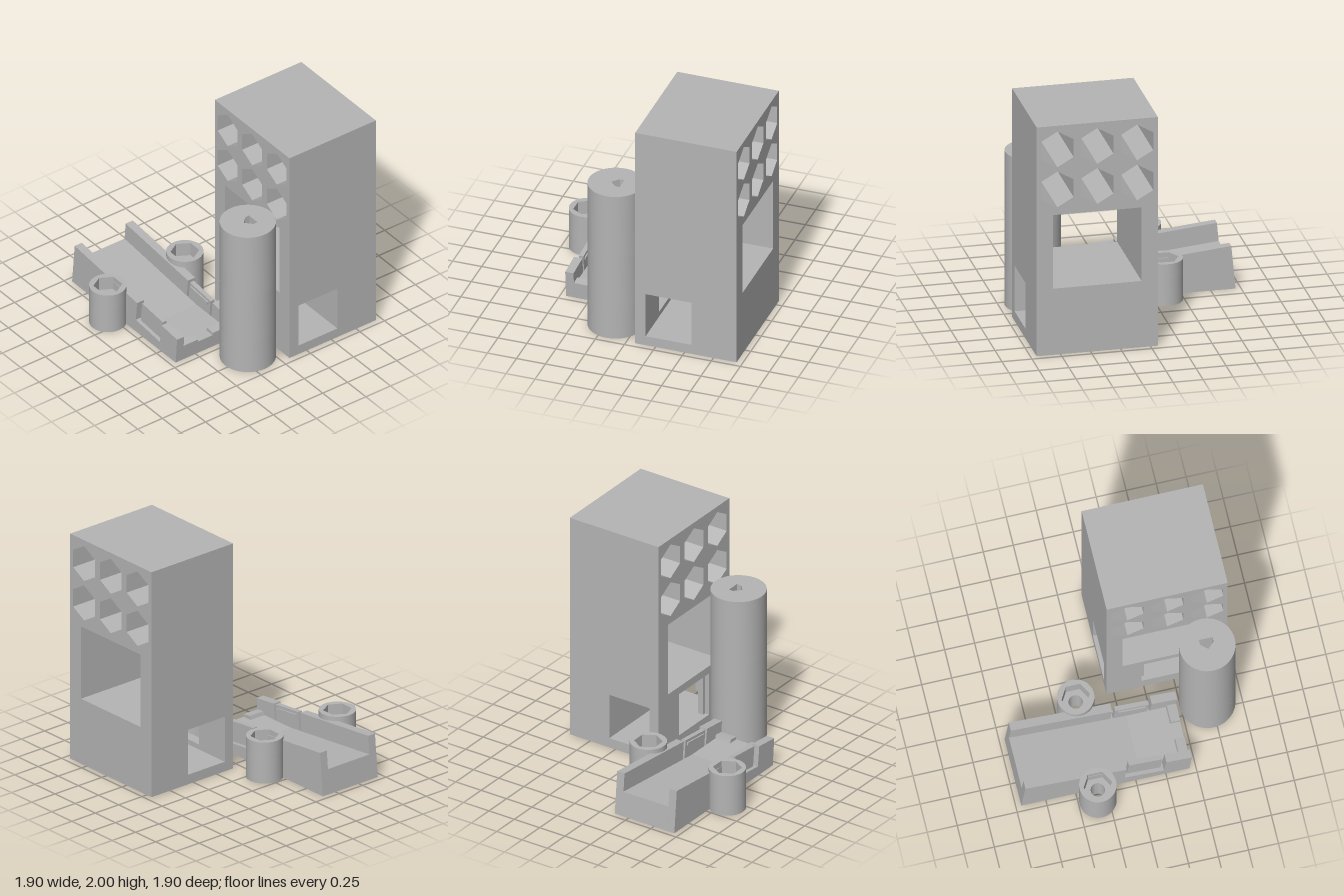
import * as THREE from 'three';
import { toCreasedNormals } from 'three/addons/utils/BufferGeometryUtils.js';

const gray = new THREE.MeshStandardMaterial({ color: 0xb4b4b4 });
gray.name = 'plain gray';

const pts = (list) => list.map(([x, y]) => new THREE.Vector2(x, y));
const poly = (list) => new THREE.Shape(pts(list));
const rect = (x0, x1, y0, y1) => [[x0, y0], [x1, y0], [x1, y1], [x0, y1]];
const ngon = (n, r, cx = 0, cy = 0, start = 0) => Array.from({ length: n }, (_, i) => {
  const a = start + (i / n) * Math.PI * 2;
  return [cx + r * Math.cos(a), cy + r * Math.sin(a)];
});

// Outline with holes, extruded along z from z0 to z1
function slab(outline, holes, z0, z1) {
  const shape = poly(outline);
  shape.holes = holes.map((h) => new THREE.Path(pts(h)));
  const geo = new THREE.ExtrudeGeometry(shape, { depth: z1 - z0, bevelEnabled: false });
  return geo.translate(0, 0, z0);
}

// Outline seen from above, extruded upwards from y0 to y1
function upright(outline, holes, y0, y1) {
  return toCreasedNormals(slab(outline, holes, y0, y1).rotateX(-Math.PI / 2), 0.5);
}

function add(parent, name, geo) {
  const mesh = new THREE.Mesh(geo, gray);
  mesh.name = name;
  parent.add(mesh);
}

function group(parent, name) {
  const g = new THREE.Group();
  g.name = name;
  parent.add(g);
  return g;
}

function buildTower(root) {
  const tower = group(root, 'tower');
  const L = -0.06, R = 0.95, back = -0.95, front = -0.075;
  // Upper block with honeycomb holes and a large window
  const holes = [rect(0.075, 0.815, 0.578, 1.222)];
  for (const x of [0.113, 0.445, 0.777]) {
    for (const y of [1.793, 1.443]) holes.push(ngon(6, 0.156, x, y, Math.PI / 2));
  }
  add(tower, 'towerUpper', slab(rect(L, R, 0.51, 2), holes, back, front));
  // Lower part around the cross tunnel
  add(tower, 'towerBase', slab(rect(L, R, 0, 0.085), [], back, front));
  add(tower, 'tunnelBackWall', slab(rect(L, R, 0.085, 0.485), [], back, -0.56));
  add(tower, 'tunnelRoof', slab(rect(L, R, 0.485, 0.51), [], back, -0.165));
  // Front wall with a stepped opening
  add(tower, 'tunnelFrontWall', slab(rect(L, R, 0.085, 0.51), [rect(0.26, 0.63, 0.13, 0.485)], -0.165, -0.115));
  add(tower, 'openingFrame', slab(
    [[L, 0.085], [R, 0.085], [R, 0.51], [0.66, 0.51], [0.66, 0.13], [0.23, 0.13], [0.23, 0.51], [L, 0.51]],
    [], -0.115, front));
  for (const x of [0.23, 0.63]) {
    add(tower, 'openingLip', slab(rect(x, x + 0.03, 0.34, 0.485), [], -0.187, -0.165));
  }
}

function buildColumn(root) {
  const column = group(root, 'column');
  column.position.set(0.72, 0, 0.175);
  const r = 0.229, w = 0.094, a = Math.acos(w / r);
  const bore = [[-0.057, 0.055], [-0.057, 0.015], [0, -0.038], [0.057, 0.015], [0.057, 0.055]];
  const disc = ngon(96, r);
  // Disc with a notch cut into its back
  const steps = 80;
  const slotted = [[w, 0.125], [-w, 0.125]];
  for (let i = 0; i <= steps; i++) {
    const t = Math.PI - a + (i / steps) * (Math.PI + 2 * a);
    slotted.push([r * Math.cos(t), r * Math.sin(t)]);
  }
  add(column, 'columnBottom', upright(disc, [bore], 0, 0.31));
  add(column, 'columnSlot', upright(slotted, [bore], 0.31, 0.77));
  add(column, 'columnTop', upright(disc, [bore], 0.77, 1.345));
}

function buildPosts(root) {
  // Round posts with a hexagonal pocket above a round bore
  for (const z of [0.02, 0.8]) {
    const post = group(root, 'screwPost');
    post.position.set(-0.34, 0, z);
    const disc = ngon(72, 0.152);
    add(post, 'postBody', upright(disc, [ngon(48, 0.058)], 0, 0.245));
    add(post, 'postPocket', upright(disc, [ngon(6, 0.118)], 0.245, 0.365));
  }
}

function buildRamp(root) {
  const ramp = group(root, 'ramp');
  const mid = 0.408;
  // Adds a profile on both sides of the ramp's middle plane
  const pair = (name, outline, d0, d1) => {
    add(ramp, name, slab(outline, [], mid + d0, mid + d1));
    add(ramp, name, slab(outline, [], mid - d1, mid - d0));
  };
  // Channel floor, with a long pocket underneath
  const floor = [[0.447, 0], [0.456, 0.12], [0.04, 0.12], [-0.935, 0.215], [-0.955, 0]];
  pair('floor', floor, 0.05, 0.222);
  add(ramp, 'floorMiddle', slab(
    [...floor, [-0.83, 0], [-0.83, 0.06], [0, 0.06], [0, 0]], [], mid - 0.05, mid + 0.05));
  // Side walls, cut open for the clips
  pair('sideWall', [[-0.955, 0], [0.447, 0], [0.467, 0.24], [0.255, 0.261], [0.235, 0.083],
    [-0.093, 0.115], [-0.075, 0.293], [-0.92, 0.375]], 0.222, 0.294);
  // Clip tongues with a small catch
  pair('clip', [[-0.068, 0.11], [0.212, 0.083], [0.23, 0.263], [-0.05, 0.29]], 0.222, 0.262);
  pair('clipCatch', [[-0.032, 0.24], [0.198, 0.217], [0.201, 0.242], [-0.029, 0.265]], 0.21, 0.222);
  // Stops at the low end
  pair('endStop', [[0.37, 0.115], [0.456, 0.115], [0.458, 0.143], [0.381, 0.152]], 0.074, 0.222);
}

export function createModel() {
  const root = new THREE.Group();
  root.name = 'testParts';
  buildTower(root);
  buildColumn(root);
  buildPosts(root);
  buildRamp(root);
  return root;
}
